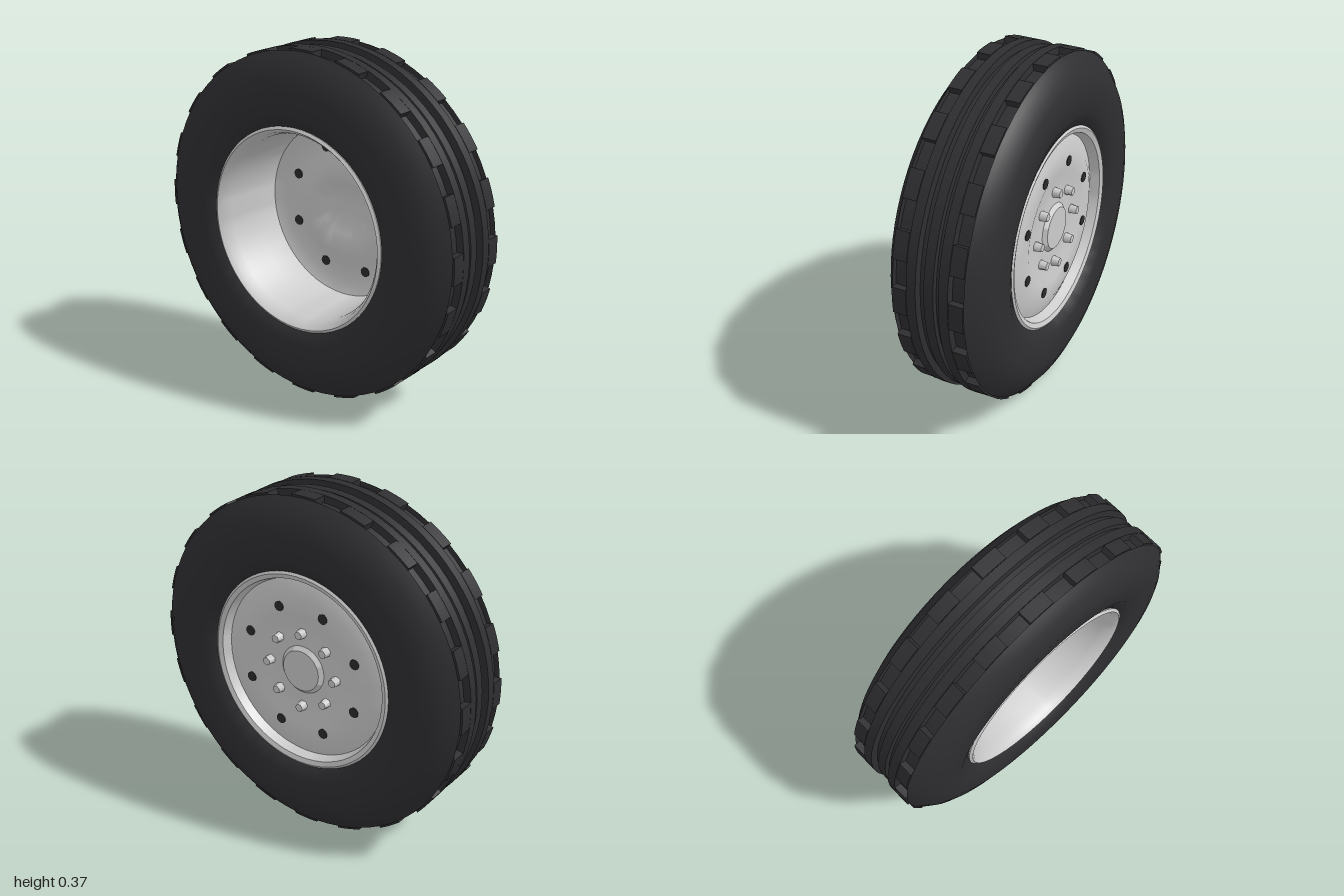
import * as THREE from 'three';
import { mergeGeometries, toCreasedNormals } from 'three/addons/utils/BufferGeometryUtils.js';

const rubber = new THREE.MeshStandardMaterial({ color: 0x2e2e31, side: THREE.DoubleSide });
const metal = new THREE.MeshStandardMaterial({ color: 0xcccccc, side: THREE.DoubleSide });
const dark = new THREE.MeshStandardMaterial({ color: 0x2a2a2a });

// Revolve [radius, z] points around the wheel axis (z)
function revolve(points, segments = 80) {
  const geo = new THREE.LatheGeometry(points.map(([r, z]) => new THREE.Vector2(r, z)), segments);
  return toCreasedNormals(geo.rotateX(Math.PI / 2), 0.6);
}

// Merge copies of a geometry spaced evenly around the axis
function ring(make, count, offset = 0) {
  const parts = [];
  for (let i = 0; i < count; i++) parts.push(make().rotateZ(offset + (i * 2 * Math.PI) / count));
  return mergeGeometries(parts);
}

// Curved tread block, centred on angle 0
function treadBlock(z) {
  const half = Math.PI / 40;
  const shape = new THREE.Shape();
  shape.absarc(0, 0, 0.183, -half, half, false);
  shape.absarc(0, 0, 0.172, half, -half, true);
  const geo = new THREE.ExtrudeGeometry(shape, { depth: 0.015, bevelEnabled: false, curveSegments: 4 });
  return geo.translate(0, 0, z - 0.0075);
}

export function createModel() {
  const wheel = new THREE.Group();
  wheel.name = 'wheel';
  const add = (name, geo, mat) => {
    const mesh = new THREE.Mesh(geo, mat);
    mesh.name = name;
    wheel.add(mesh);
  };

  // Tyre: half profile from bead to centre rib, mirrored across z = 0
  const half = [
    [0.103, -0.042], [0.108, -0.048], [0.122, -0.054], [0.145, -0.056], [0.157, -0.053],
    [0.168, -0.048], [0.177, -0.041], [0.181, -0.0375], [0.176, -0.037], [0.176, -0.023],
    [0.183, -0.022], [0.183, -0.012], [0.176, -0.011], [0.176, -0.006], [0.18, -0.005],
  ];
  const mirrored = half.map(([r, z]) => [r, -z]).reverse();
  add('tyre', revolve([...half, ...mirrored]), rubber);
  for (const side of [-1, 1]) {
    add(side > 0 ? 'frontTreadBlocks' : 'backTreadBlocks', ring(() => treadBlock(side * 0.03), 20), rubber);
  }

  // Rim: deep barrel with a rolled lip on each side
  add('rim', revolve([
    [0.098, -0.04], [0.1, -0.047], [0.105, -0.049], [0.108, -0.047], [0.106, -0.04],
    [0.103, -0.03], [0.103, 0.035], [0.106, 0.043], [0.108, 0.049], [0.105, 0.051],
    [0.101, 0.046], [0.098, 0.036], [0.096, 0], [0.094, -0.028], [0.098, -0.04],
  ], 64), metal);

  // Dished disc, with its outer face towards the back
  add('disc', revolve([
    [0.0, -0.044], [0.022, -0.044], [0.026, -0.04], [0.034, -0.04], [0.052, -0.04],
    [0.062, -0.043], [0.082, -0.043], [0.099, -0.036], [0.096, -0.028],
    [0.082, -0.035], [0.062, -0.035], [0.052, -0.031], [0.034, -0.031],
    [0.028, -0.034], [0.016, -0.037], [0, -0.038],
  ], 64), metal);

  // Dark vent holes around the disc
  const vent = () => new THREE.CylinderGeometry(0.0055, 0.0055, 0.0096, 12)
    .rotateX(Math.PI / 2).translate(0.07, 0, -0.039);
  add('ventHoles', ring(vent, 8, Math.PI / 8), dark);

  // Hub nuts on the outer face
  const nut = () => new THREE.CylinderGeometry(0.0045, 0.0055, 0.009, 6)
    .toNonIndexed().rotateX(-Math.PI / 2).translate(0.041, 0, -0.0435);
  add('hubNuts', ring(nut, 8), metal);

  // The wheel sits high above the ground plane
  wheel.position.y = 1.817;
  const model = new THREE.Group();
  model.add(wheel);
  return model;
}
